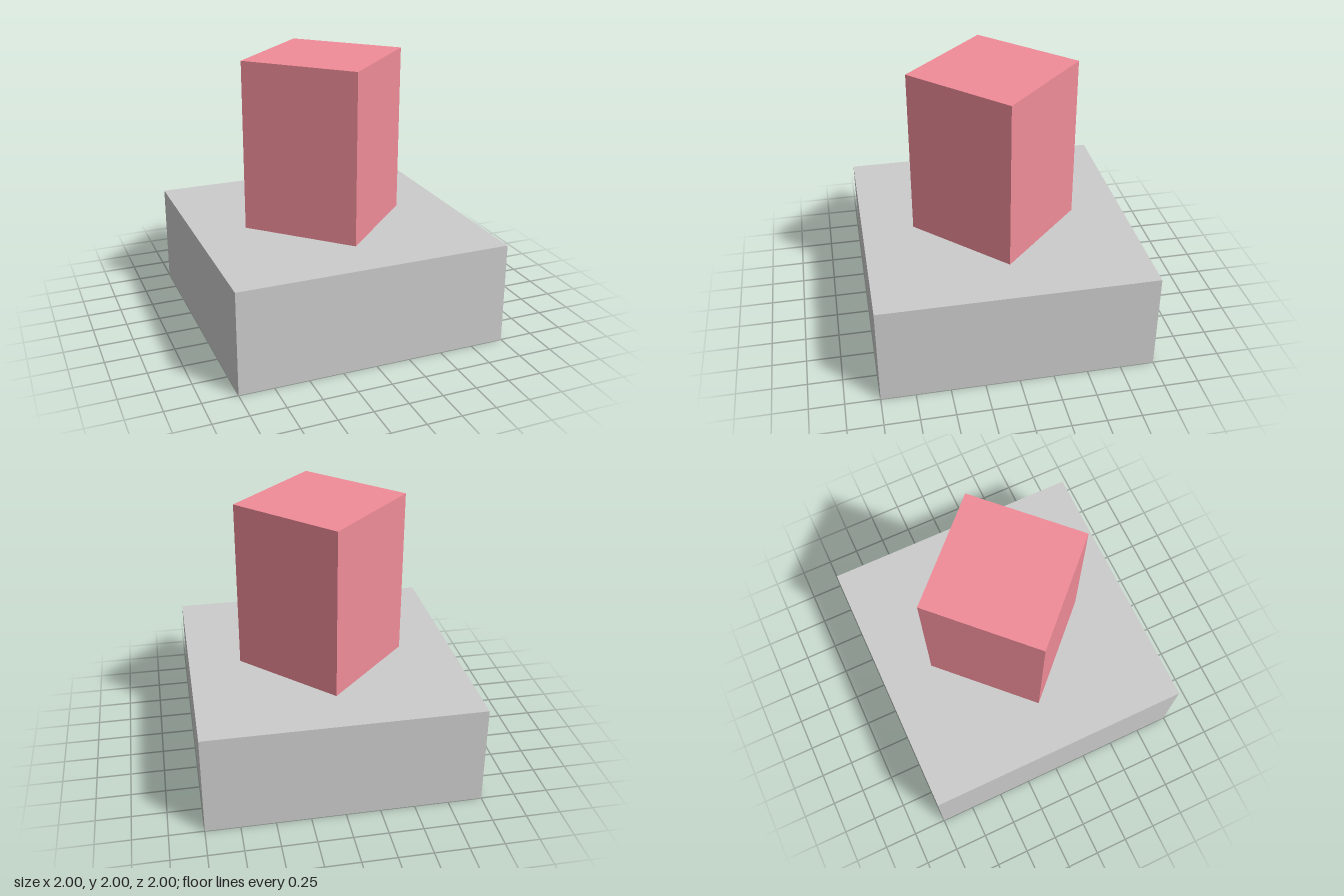
import * as THREE from 'three';

const BASE_HEIGHT = 0.75;
const TOTAL_HEIGHT = 2;
const COLUMN_RADIUS = 0.617; // centre to corner

export function createModel() {
  const model = new THREE.Group();
  model.name = 'columnOnBase';

  // Adds a block standing at height y
  const addBlock = (name, width, height, y, color) => {
    const mesh = new THREE.Mesh(
      new THREE.BoxGeometry(width, height, width),
      new THREE.MeshStandardMaterial({ color })
    );
    mesh.name = name;
    mesh.position.y = y + height / 2;
    model.add(mesh);
    return mesh;
  };

  // Wide square slab
  addBlock('base', 2, BASE_HEIGHT, 0, 0xcccccc);

  // Square column turned corner-forward
  const column = addBlock('column', COLUMN_RADIUS * Math.SQRT2, TOTAL_HEIGHT - BASE_HEIGHT, BASE_HEIGHT, 0xf08c98);
  column.rotation.y = Math.PI / 4;

  return model;
}
